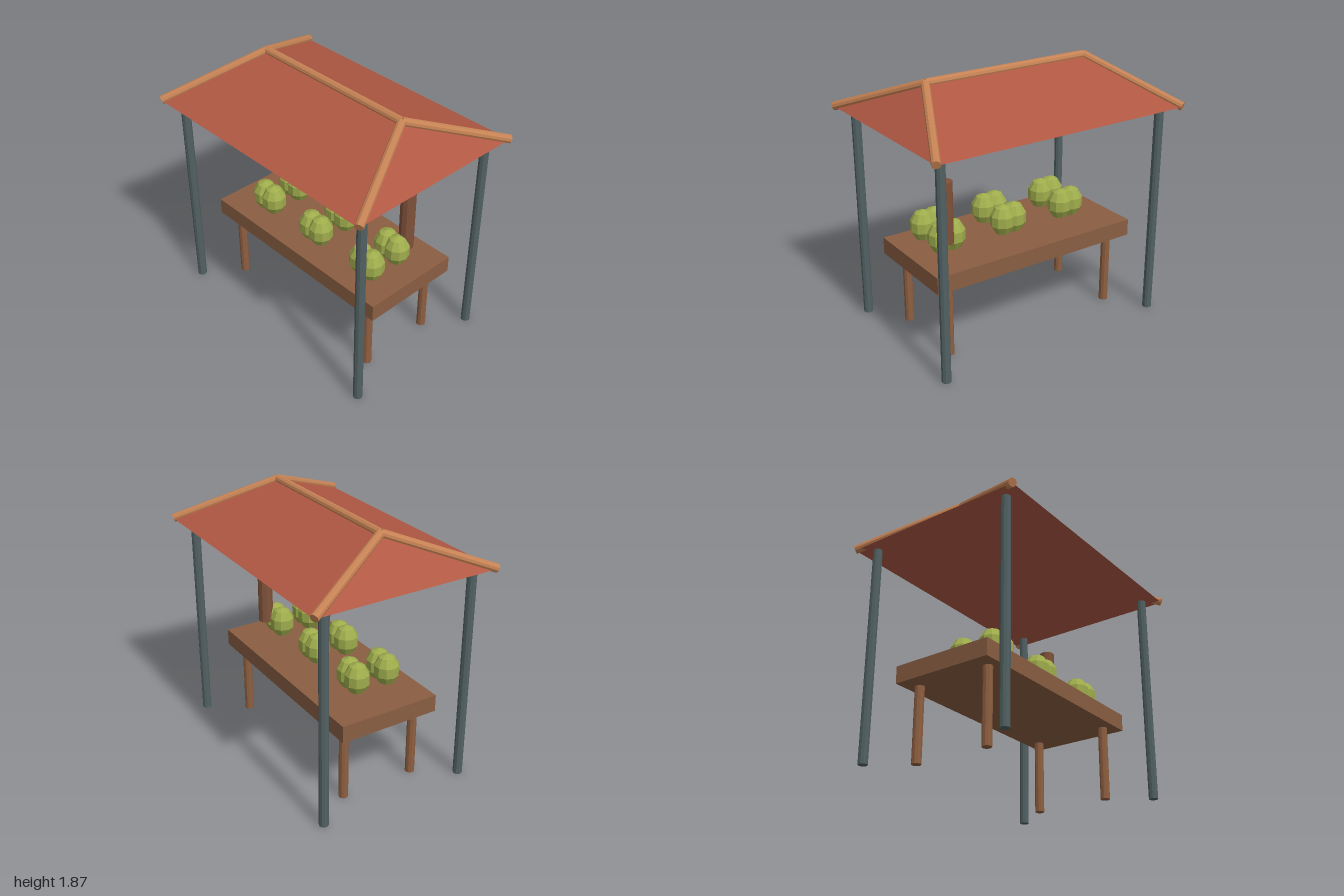
import * as THREE from 'three';

const paint = (name, color) => {
  const m = new THREE.MeshStandardMaterial({ color, flatShading: true });
  m.name = name;
  return m;
};

export function createModel() {
  const mats = {
    roof: paint('brick red', 0xb05843),
    beam: paint('tan wood', 0xc58254),
    post: paint('slate grey', 0x526163),
    table: paint('brown wood', 0x8a5e42),
    leg: paint('leg wood', 0x8f5f41),
    log: paint('dark wood', 0x80523a),
    fruit: paint('leaf green', 0x9fad4c),
  };
  const model = new THREE.Group();
  model.name = 'marketStall';

  const add = (name, geometry, material, x = 0, y = 0, z = 0) => {
    const mesh = new THREE.Mesh(geometry, material);
    mesh.name = name;
    mesh.position.set(x, y, z);
    model.add(mesh);
    return mesh;
  };

  // Round beam between two points
  const addBeam = (name, a, b, radius) => {
    const dir = b.clone().sub(a);
    const mesh = add(name, new THREE.CylinderGeometry(radius, radius, dir.length(), 10), mats.beam);
    mesh.position.copy(a).add(b).multiplyScalar(0.5);
    mesh.quaternion.setFromUnitVectors(new THREE.Vector3(0, 1, 0), dir.normalize());
  };

  // Hipped roof: four eave corners, two ridge ends, closed underside
  const eaveX = 0.97, eaveZ = 0.68, eaveY = 1.565, ridgeX = 0.64, ridgeY = 1.838;
  const roof = new THREE.BufferGeometry();
  roof.setAttribute('position', new THREE.Float32BufferAttribute([
    -eaveX, eaveY, eaveZ, eaveX, eaveY, eaveZ,
    eaveX, eaveY, -eaveZ, -eaveX, eaveY, -eaveZ,
    -ridgeX, ridgeY, 0, ridgeX, ridgeY, 0,
  ], 3));
  roof.setIndex([
    0, 1, 5, 0, 5, 4, // front slope
    2, 3, 4, 2, 4, 5, // back slope
    1, 2, 5, 3, 0, 4, // end slopes
    0, 3, 2, 0, 2, 1, // underside
  ]);
  const roofFlat = roof.toNonIndexed();
  roofFlat.computeVertexNormals();
  add('roof', roofFlat, mats.roof);

  // Ridge beam
  addBeam('ridgeBeam', new THREE.Vector3(-ridgeX, ridgeY, 0), new THREE.Vector3(ridgeX, ridgeY, 0), 0.03);

  // Hip beams, roof posts and table legs at the four corners
  for (const sx of [-1, 1]) {
    for (const sz of [-1, 1]) {
      addBeam('hipBeam',
        new THREE.Vector3(sx * ridgeX, ridgeY, 0),
        new THREE.Vector3(sx * eaveX, eaveY + 0.005, sz * eaveZ), 0.03);
      add('roofPost', new THREE.CylinderGeometry(0.033, 0.033, 1.57, 10), mats.post, sx * 0.873, 0.785, sz * 0.557);
      add('tableLeg', new THREE.CylinderGeometry(0.033, 0.033, 0.53, 10), mats.leg, sx * 0.68, 0.265, sz * 0.28);
    }
  }

  // Table top
  add('tableTop', new THREE.BoxGeometry(1.62, 0.122, 0.745), mats.table, 0, 0.592, 0);

  // Three clusters of four faceted fruits
  const fruit = new THREE.SphereGeometry(0.094, 10, 5);
  fruit.scale(1, 1.25, 0.98);
  for (const cx of [-0.505, 0, 0.505]) {
    for (const dx of [0, 0.094]) {
      for (const z of [0.177, -0.065]) add('fruit', fruit, mats.fruit, cx + dx, 0.772, z);
    }
  }

  // Upright log behind the fruit
  add('log', new THREE.CylinderGeometry(0.054, 0.054, 0.445, 10), mats.log, 0.606, 0.988, -0.147);

  return model;
}
